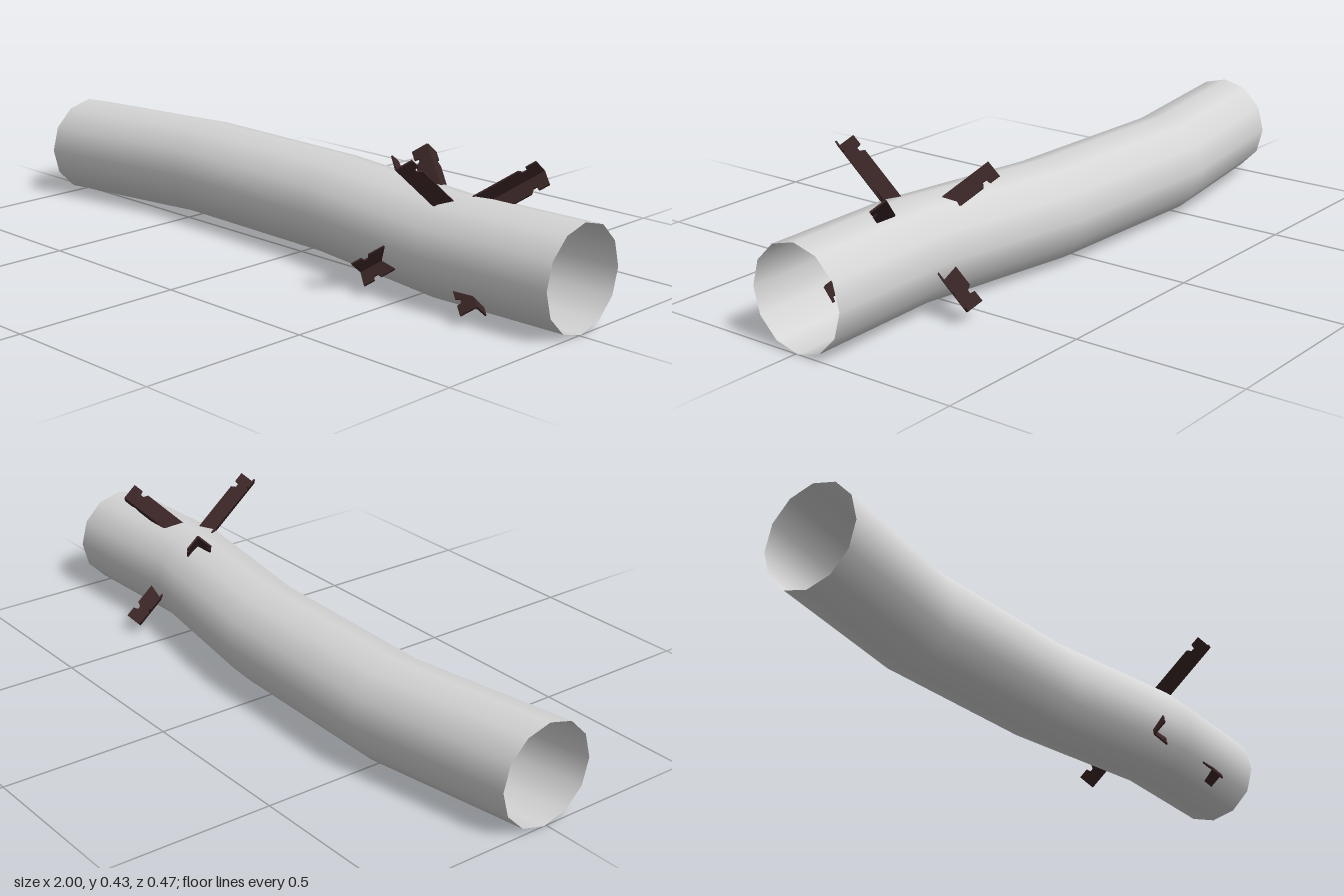
import * as THREE from 'three';

export function createModel() {
  const model = new THREE.Group();
  model.name = 'pipeWithCrossedBeams';

  const pipePaint = new THREE.MeshStandardMaterial({ color: 0xd6d6d6, side: THREE.DoubleSide });
  pipePaint.name = 'light grey';
  const beamPaint = new THREE.MeshStandardMaterial({ color: 0x3a2526 });
  beamPaint.name = 'dark rust';

  // Bent open pipe: rings of a twelve-sided cylinder moved along a bent centre line
  const R = 0.1485;
  const rings = [[-1, -0.008], [-0.5, -0.087], [0.08, -0.072], [0.58, 0.007], [1, -0.007]]; // x, z
  const pipeGeo = new THREE.CylinderGeometry(R, R, 4, 12, 4, true);
  pipeGeo.rotateZ(-Math.PI / 2); // length along x, from -2 to 2
  const pos = pipeGeo.attributes.position;
  for (let i = 0; i < pos.count; i++) {
    const [x, z] = rings[Math.round(pos.getX(i)) + 2];
    pos.setXYZ(i, x, pos.getY(i) + R, pos.getZ(i) + z);
  }
  const pipe = new THREE.Mesh(pipeGeo, pipePaint);
  pipe.name = 'pipe';
  model.add(pipe);

  // Three perpendicular directions shared by the crossed beams
  const a = new THREE.Vector3(0, 0.643, 0.766);
  const c = new THREE.Vector3(Math.SQRT1_2, 0.766 * Math.SQRT1_2, -0.643 * Math.SQRT1_2);
  const b = new THREE.Vector3(-c.x, c.y, c.z);
  const neg = (v) => v.clone().negate();
  const centre = new THREE.Vector3(0.58, 0.213, 0.014);

  const barrier = new THREE.Group();
  barrier.name = 'crossedBeams';
  barrier.position.copy(centre);
  model.add(barrier);

  // Flat plate cut from a shape, lying in the plane of two directions
  function plate(points, thick, u, v, name, parent) {
    const shape = new THREE.Shape(points.map(([x, y]) => new THREE.Vector2(x, y)));
    const geo = new THREE.ExtrudeGeometry(shape, { depth: thick, bevelEnabled: false });
    geo.translate(0, 0, -thick / 2);
    geo.applyMatrix4(new THREE.Matrix4().makeBasis(u, v, u.clone().cross(v)));
    const mesh = new THREE.Mesh(geo, beamPaint);
    mesh.name = name;
    parent.add(mesh);
  }

  // Flange outline with a notch near each end of its outer edge
  const H = 0.288, W = 0.049, D = 0.036;
  const flange = [
    [-H, 0], [H, 0], [H, W], [H - 0.032, W], [H - 0.035, D], [H - 0.046, D], [H - 0.054, W],
    [-H + 0.054, W], [-H + 0.046, D], [-H + 0.035, D], [-H + 0.032, W], [-H, W],
  ];

  // Angle-section beams: one long direction and two flange directions each
  const beams = [
    ['forwardBeam', a, [b, c]],
    ['leftBeam', c, [a, neg(b)]],
    ['rightBeam', b, [neg(a), neg(c)]],
  ];
  for (const [name, along, sides] of beams) {
    const beam = new THREE.Group();
    beam.name = name;
    for (const side of sides) plate(flange, 0.005, along, side, 'flange', beam);
    barrier.add(beam);
  }

  // Diamond gusset plates with rivets where the beams meet
  const G = 0.09;
  const diamond = [[G, 0], [0, G], [-G, 0], [0, -G]];
  for (const [u, v] of [[a, b], [b, c], [c, a]]) {
    plate(diamond, 0.008, u, v, 'gusset', barrier);
    const normal = u.clone().cross(v);
    for (const s of [-1, 1]) for (const t of [-1, 1]) for (const [p, q] of [[0.018, 0.018], [0.05, 0.018], [0.018, 0.05]]) {
      const rivet = new THREE.Mesh(new THREE.CylinderGeometry(0.002, 0.002, 0.011, 6), beamPaint);
      rivet.name = 'rivet';
      rivet.quaternion.setFromUnitVectors(new THREE.Vector3(0, 1, 0), normal.normalize());
      rivet.position.addScaledVector(u, s * p).addScaledVector(v, t * q);
      barrier.add(rivet);
    }
  }

  return model;
}
